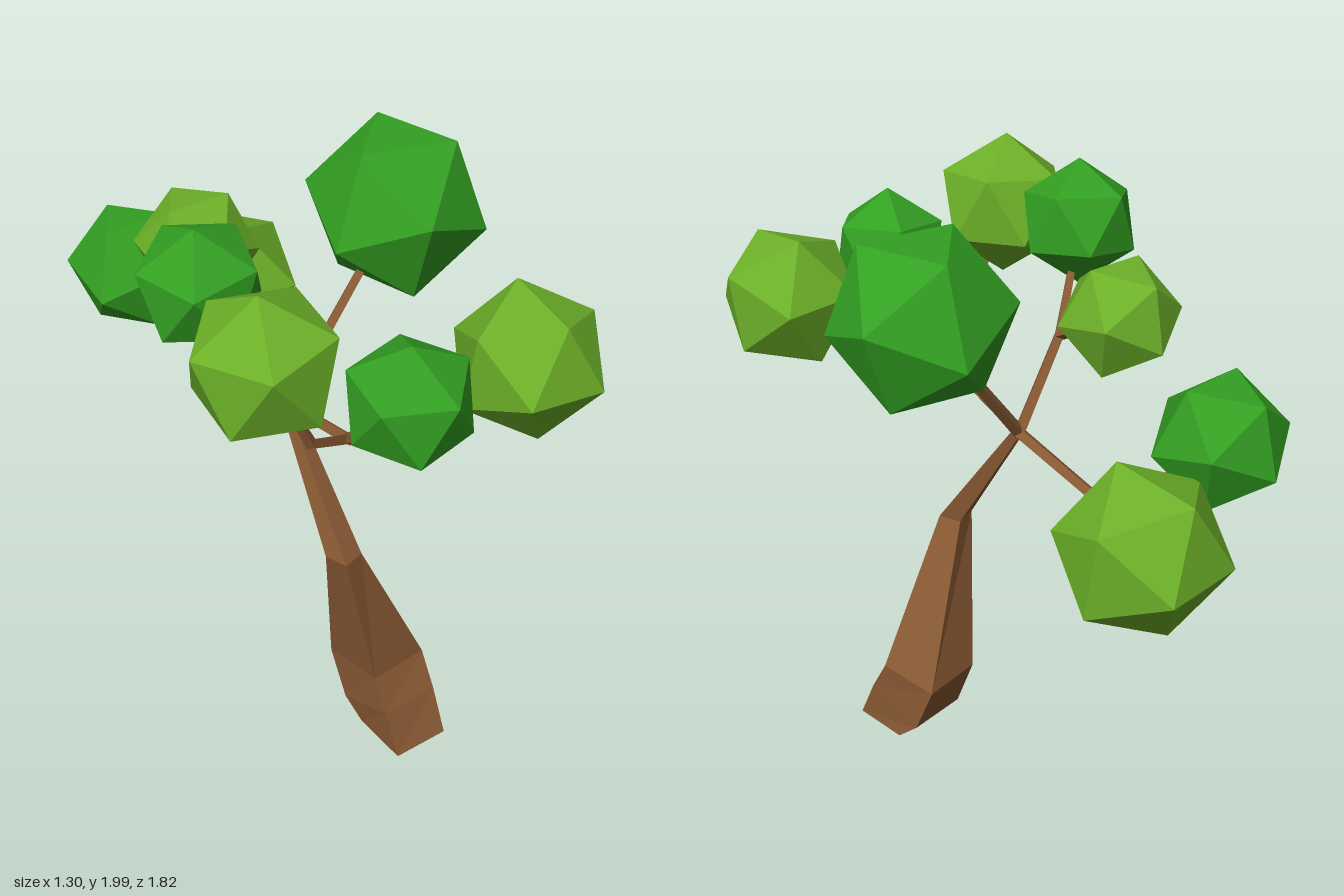
import * as THREE from 'three';

const material = (color) => new THREE.MeshStandardMaterial({ color, flatShading: true });
const bark = material(0x8a5a34);
const darkLeaf = material(0x33a022);
const lightLeaf = material(0x6cb028);
const V = (a) => new THREE.Vector3(...a);

// Orthonormal frame whose first axis is a and whose second leans towards b
function frame(a, b) {
  const x = a.clone().normalize();
  const z = x.clone().cross(b).normalize();
  return new THREE.Matrix4().makeBasis(x, z.clone().cross(x), z);
}

// Icosahedral leaf ball, turned so that two neighbouring corners point along a and b
function leafBall(name, mat, center, radius, a, b) {
  const t = (1 + Math.sqrt(5)) / 2;
  const local = frame(V([0, 1, t]), V([1, t, 0]));
  const geo = new THREE.IcosahedronGeometry(radius, 0);
  geo.applyMatrix4(frame(V(a), V(b)).multiply(local.transpose()));
  const mesh = new THREE.Mesh(geo, mat);
  mesh.name = name;
  mesh.position.set(...center);
  return mesh;
}

// Tapered four-sided branch running through a list of points
function branch(name, points, r0, r1) {
  const group = new THREE.Group();
  group.name = name;
  const n = points.length - 1;
  for (let i = 0; i < n; i++) {
    const p = V(points[i]), q = V(points[i + 1]);
    const dir = q.clone().sub(p);
    const rad = (k) => r0 + ((r1 - r0) * k) / n;
    const geo = new THREE.CylinderGeometry(rad(i + 1), rad(i), dir.length() + 0.008, 4);
    const mesh = new THREE.Mesh(geo, bark);
    mesh.name = name + 'Segment';
    mesh.position.copy(p).add(q).multiplyScalar(0.5);
    mesh.quaternion.setFromUnitVectors(new THREE.Vector3(0, 1, 0), dir.normalize());
    group.add(mesh);
  }
  return group;
}

// Bent trunk lofted through square rings: centre x, y, z, half width, turn, tilt along z
function trunk() {
  const rings = [
    [0.16, 0.005, 0.42, 0.1, 0, 0],
    [0.15, 0.12, 0.35, 0.105, 0.05, 0.38],
    [0.14, 0.27, 0.285, 0.108, 0.1, 0.1],
    [-0.037, 0.8, 0.32, 0.04, 0.3, 0],
    [-0.05, 1.23, 0.03, 0.017, 0.3, 0],
  ];
  const pos = [], index = [];
  rings.forEach(([x, y, z, half, turn, tilt], i) => {
    for (let k = 0; k < 4; k++) {
      const ang = Math.PI / 4 + (k * Math.PI) / 2 - turn;
      const dx = Math.cos(ang) * half * Math.SQRT2, dz = Math.sin(ang) * half * Math.SQRT2;
      pos.push(x + dx, Math.max(0, y + tilt * dz), z + dz);
      if (i === 0) continue;
      const a = (i - 1) * 4 + k, b = (i - 1) * 4 + ((k + 1) % 4);
      index.push(a, a + 4, b, b, a + 4, b + 4);
    }
  });
  const e = (rings.length - 1) * 4;
  index.push(0, 1, 2, 0, 2, 3, e, e + 2, e + 1, e, e + 3, e + 2);
  const geo = new THREE.BufferGeometry();
  geo.setAttribute('position', new THREE.Float32BufferAttribute(pos, 3));
  geo.setIndex(index);
  geo.computeVertexNormals();
  const mesh = new THREE.Mesh(geo, bark);
  mesh.name = 'trunk';
  return mesh;
}

export function createModel() {
  const tree = new THREE.Group();
  tree.name = 'tree';
  tree.add(trunk());

  // Branches: limbs leave the crown fork and split at their own nodes
  const fork = [-0.05, 1.22, 0.03];
  const front = [-0.1, 1.33, 0.41], back = [0.02, 1.15, -0.44], side = [-0.23, 1.5, 0.03];
  tree.add(
    branch('frontLimb', [fork, front], 0.022, 0.021),
    branch('frontRightBranch', [front, [-0.29, 1.44, 0.49], [-0.37, 1.6, 0.49]], 0.02, 0.015),
    branch('frontMiddleBranch', [front, [-0.16, 1.43, 0.54], [-0.13, 1.55, 0.64]], 0.02, 0.015),
    branch('frontLeftBranch', [front, [0.2, 1.52, 0.62]], 0.02, 0.016),
    branch('backLimb', [fork, back], 0.022, 0.019),
    branch('backLeftBranch', [back, [0.08, 1.14, -0.51], [0.15, 1.18, -0.62]], 0.019, 0.015),
    branch('backRightBranch', [back, [-0.12, 1.35, -0.61]], 0.019, 0.015),
    branch('sideLimb', [fork, side], 0.022, 0.019),
    branch('sideBackBranch', [side, [-0.2, 1.63, -0.2]], 0.019, 0.015),
    branch('sideFrontBranch', [side, [-0.36, 1.72, 0.09]], 0.019, 0.015),
    branch('leftLimb', [fork, [0.25, 1.6, 0.01]], 0.022, 0.018),
  );

  // Leaf balls
  tree.add(
    leafBall('backRightLeaves', darkLeaf, [-0.17, 1.42, -0.67], 0.214, [0.11, 0.18, 0.05], [-0.11, 0.18, 0.05]),
    leafBall('backLeftLeaves', lightLeaf, [0.2, 1.225, -0.7], 0.265, [0, 0.25, 0.11], [0.22, 0.13, -0.03]),
    leafBall('sideBackLeaves', lightLeaf, [-0.17, 1.68, -0.27], 0.19, [0.09, 0.16, 0.04], [-0.095, 0.155, 0.03]),
    leafBall('sideFrontLeaves', darkLeaf, [-0.4, 1.81, 0.11], 0.195, [-0.03, 0.18, 0.03], [0.17, 0.08, -0.05]),
    leafBall('leftLeaves', darkLeaf, [0.375, 1.765, 0], 0.285, [0.12, 0.225, 0.125], [-0.165, 0.225, 0.04]),
    leafBall('frontRightLeaves', lightLeaf, [-0.44, 1.76, 0.48], 0.228, [-0.03, 0.22, 0.02], [0.19, 0.1, -0.1]),
    leafBall('frontMiddleLeaves', darkLeaf, [-0.12, 1.635, 0.7], 0.195, [-0.02, 0.185, 0.02], [0.17, 0.08, 0.04]),
    leafBall('frontLeftLeaves', lightLeaf, [0.31, 1.6, 0.69], 0.232, [0.02, 0.21, -0.09], [0.2, 0.13, 0.03]),
  );
  return tree;
}
